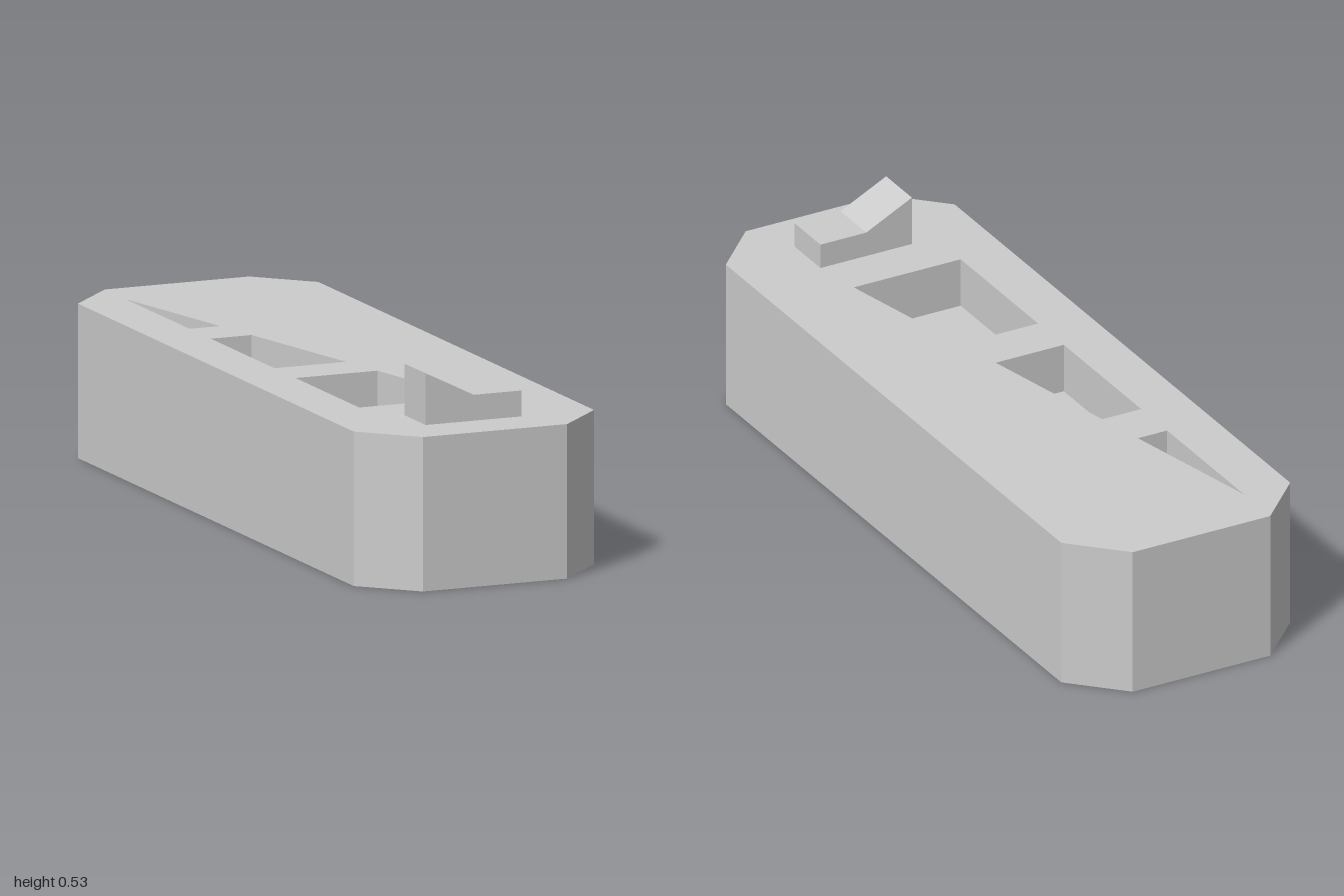
import * as THREE from 'three';

const material = new THREE.MeshStandardMaterial({ color: 0xcccccc, flatShading: true });
const HEIGHT = 0.4, FLOOR = 0.267; // body top and pocket floor

// Shape or path from [x, z] plan points
const plan = (points, Type = THREE.Shape) =>
  new Type(points.map(([x, z]) => new THREE.Vector2(x, -z)));

// Body plan: long rectangle with chamfered corners
function bodyPlan() {
  const w = 0.333, l = 1, c = 0.133;
  return plan([
    [-w + c, l], [w - c, l], [w, l - c], [w, -l + c],
    [w - c, -l], [-w + c, -l], [-w, -l + c], [-w, l - c],
  ]);
}

// Upright slab extruded from a plan between two heights
function slab(name, shape, y0, y1) {
  const geometry = new THREE.ExtrudeGeometry(shape, { depth: y1 - y0, bevelEnabled: false });
  geometry.rotateX(-Math.PI / 2).translate(0, y0, 0);
  const mesh = new THREE.Mesh(geometry, material);
  mesh.name = name;
  return mesh;
}

export function createModel() {
  const model = new THREE.Group();
  model.name = 'taperedPocketBlock';

  // Solid base below the pockets
  const body = new THREE.Group();
  body.name = 'body';
  body.add(slab('base', bodyPlan(), 0, FLOOR));

  // Upper layer: three pockets cut from one long tapering wedge
  const left = -0.2, zTip = -0.867;
  const right = (z) => left + (z - zTip) * 0.212;
  const top = bodyPlan();
  for (const [z0, z1] of [[-0.867, -0.467], [-0.333, 0.067], [0.2, 0.6]]) {
    const corners = [[left, z0], [left, z1], [right(z1), z1]];
    if (z0 > zTip) corners.push([right(z0), z0]);
    top.holes.push(plan(corners, THREE.Path));
  }
  body.add(slab('pocketedTop', top, FLOOR, HEIGHT));
  model.add(body);

  // Raised tab with a sloping half
  const profile = new THREE.Shape([
    [-0.133, HEIGHT], [0.133, HEIGHT], [0.133, 0.467], [0, 0.467], [-0.133, 0.533],
  ].map(([x, y]) => new THREE.Vector2(x, y)));
  const tab = new THREE.Mesh(
    new THREE.ExtrudeGeometry(profile, { depth: 0.133, bevelEnabled: false }), material);
  tab.position.z = 0.733;
  tab.name = 'slopedTab';
  model.add(tab);

  return model;
}
